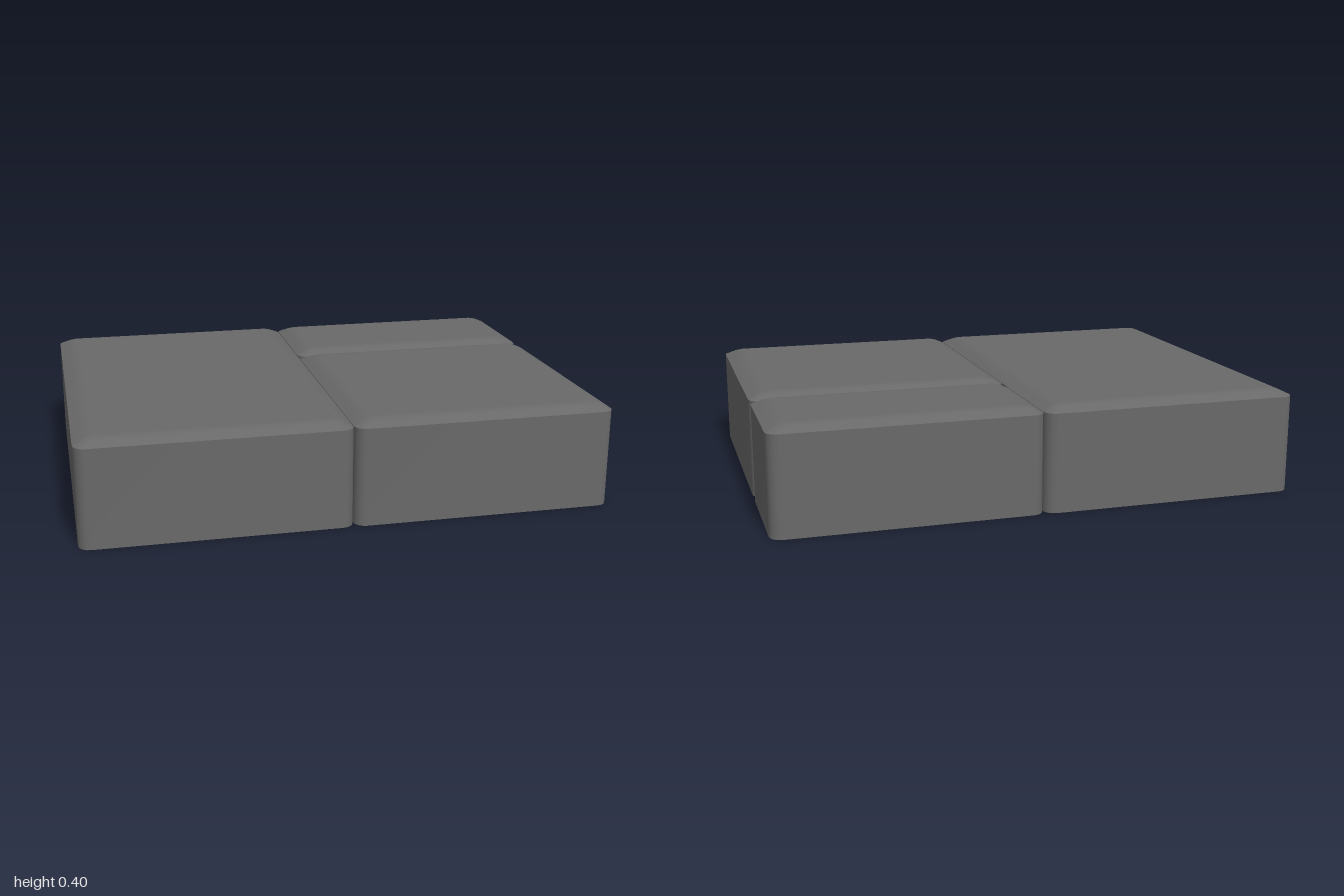
import * as THREE from 'three';
import { toCreasedNormals } from 'three/addons/utils/BufferGeometryUtils.js';

const HEIGHT = 0.4;
const CORNER = 0.045;
const STEPS = 5;

// Wall and softened bevel, as [inset, y] from bottom to top
const PROFILE = [
  [0, 0], [0, 0.375], [0.035, 0.392], [0.055, 0.399], [0.075, HEIGHT], [0.1, HEIGHT],
];

// Rounded rectangle, anticlockwise seen from above
function ring(width, depth, inset, y) {
  const r = Math.max(CORNER - inset * 0.4, 0.015);
  const cx = width / 2 - inset - r;
  const cz = depth / 2 - inset - r;
  const signs = [[1, 1], [-1, 1], [-1, -1], [1, -1]];
  const points = [];
  signs.forEach(([sx, sz], q) => {
    for (let i = 0; i <= STEPS; i++) {
      const a = (q + i / STEPS) * Math.PI / 2;
      points.push([sx * cx + r * Math.cos(a), y, -(sz * cz + r * Math.sin(a))]);
    }
  });
  return points;
}

// Solid paving block lofted through the profile rings and closed at both ends
function blockGeometry(width, depth) {
  const rings = PROFILE.map(([inset, y]) => ring(width, depth, inset, y));
  const n = rings[0].length;
  const positions = [...rings.flat(), [0, 0, 0], [0, HEIGHT, 0]].flat();
  const bottom = rings.length * n;
  const top = bottom + 1;
  const last = (rings.length - 1) * n;
  const index = [];
  for (let i = 0; i < n; i++) {
    const k = (i + 1) % n;
    for (let j = 0; j < last; j += n) {
      index.push(j + i, j + k, j + n + k, j + i, j + n + k, j + n + i);
    }
    index.push(bottom, k, i, top, last + i, last + k);
  }
  const geometry = new THREE.BufferGeometry();
  geometry.setAttribute('position', new THREE.Float32BufferAttribute(positions, 3));
  geometry.setIndex(index);
  return toCreasedNormals(geometry, 0.6);
}

export function createModel() {
  const group = new THREE.Group();
  group.name = 'pavingStones';
  const stone = new THREE.MeshStandardMaterial({ color: 0x696969 });
  stone.name = 'grey stone';

  // One long block beside a square-ish block and a narrow one
  const blocks = [
    ['longBlock', -0.5, 0, 1, 1.5],
    ['mediumBlock', 0.5, 0.25, 1, 1],
    ['smallBlock', 0.5, -0.5, 1, 0.5],
  ];
  const joint = 0.002;
  for (const [name, x, z, width, depth] of blocks) {
    const mesh = new THREE.Mesh(blockGeometry(width - joint, depth - joint), stone);
    mesh.name = name;
    mesh.position.set(x, 0, z);
    group.add(mesh);
  }
  return group;
}
